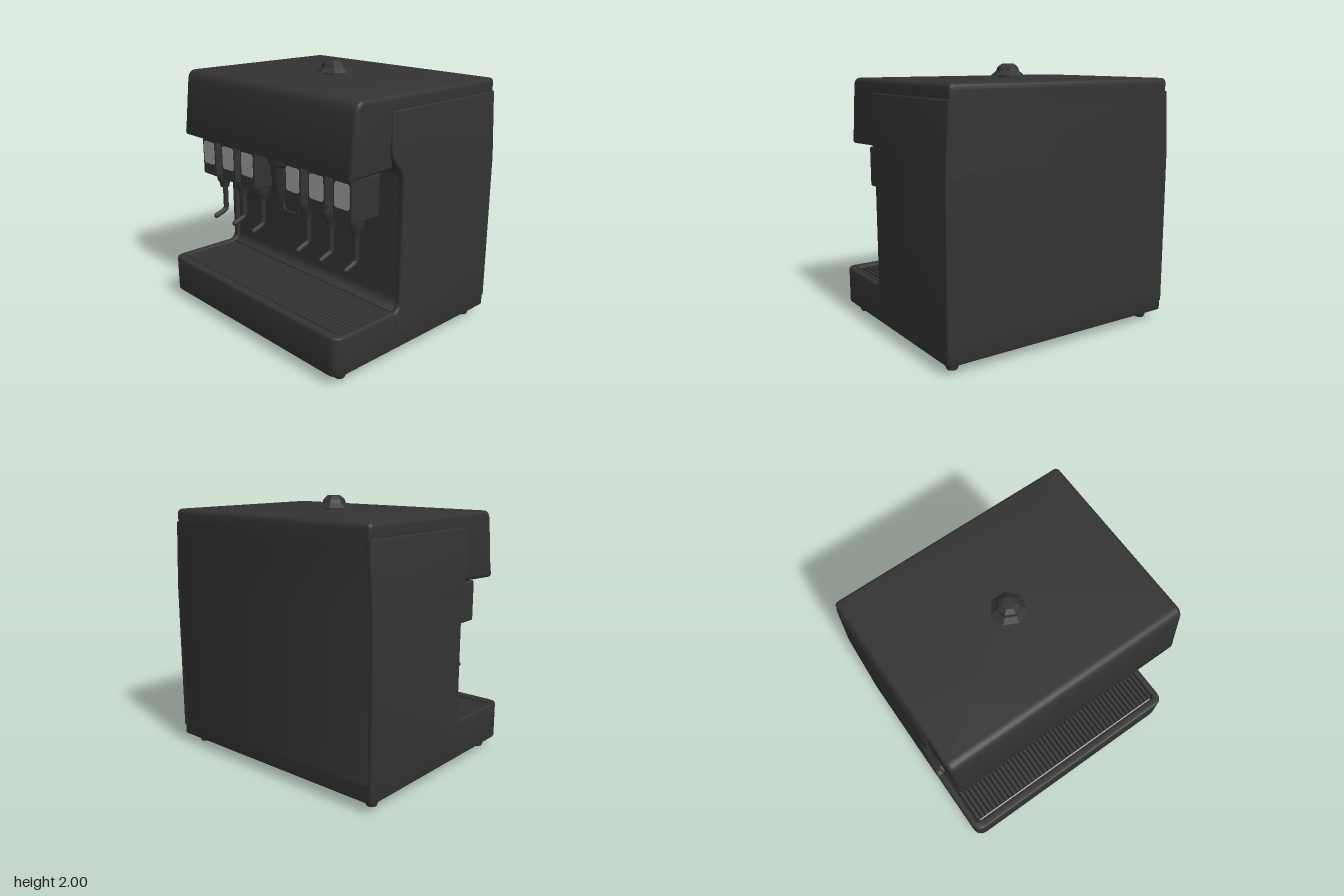
import * as THREE from 'three';
import { toCreasedNormals } from 'three/addons/utils/BufferGeometryUtils.js';
import { RoundedBoxGeometry } from 'three/addons/geometries/RoundedBoxGeometry.js';

const mat = (name, color) => {
  const m = new THREE.MeshStandardMaterial({ color });
  m.name = name;
  return m;
};

export function createModel() {
  const charcoal = mat('charcoal', 0x333333);
  const black = mat('black', 0x161616);
  const lightGrey = mat('light grey', 0xa0a0a0);
  const model = new THREE.Group();

  const add = (name, geometry, material, x = 0, y = 0, z = 0, parent = model) => {
    const mesh = new THREE.Mesh(geometry, material);
    mesh.name = name;
    mesh.position.set(x, y, z);
    parent.add(mesh);
    return mesh;
  };

  // Extrudes a (z, y) side profile across a width centred on x, with rounded edges
  const sideExtrude = (shape, width, bevel) => {
    const g = new THREE.ExtrudeGeometry(shape, {
      depth: width - 2 * bevel, bevelSize: bevel, bevelThickness: bevel,
      bevelOffset: -bevel, bevelSegments: 4, curveSegments: 8,
    });
    g.translate(0, 0, bevel - width / 2);
    g.rotateY(-Math.PI / 2);
    return g;
  };

  // Rounded rectangle in plan, larger corners at the front (shape y = -z)
  const plan = (S, x, back, front, rBack, rFront) => {
    const s = new S();
    s.moveTo(-x, -back - rBack);
    s.lineTo(-x, -front + rFront);
    s.quadraticCurveTo(-x, -front, -x + rFront, -front);
    s.lineTo(x - rFront, -front);
    s.quadraticCurveTo(x, -front, x, -front + rFront);
    s.lineTo(x, -back - rBack);
    s.quadraticCurveTo(x, -back, x - rBack, -back);
    s.lineTo(-x + rBack, -back);
    s.quadraticCurveTo(-x, -back, -x, -back - rBack);
    return s;
  };

  // Base with a recessed drip tray
  const baseShape = plan(THREE.Shape, 0.978, -0.817, 0.82, 0.03, 0.09);
  baseShape.holes.push(plan(THREE.Path, 0.925, 0.1, 0.75, 0.02, 0.04));
  const base = new THREE.ExtrudeGeometry(baseShape, {
    depth: 0.26, bevelSize: 0.015, bevelThickness: 0.015, bevelOffset: -0.015,
    bevelSegments: 3, curveSegments: 8,
  });
  base.rotateX(-Math.PI / 2);
  add('base', toCreasedNormals(base, 0.6), charcoal, 0, 0.085, 0);
  add('trayFloor', new THREE.BoxGeometry(1.88, 0.24, 0.7), black, 0, 0.195, 0.42);
  add('trayEdgeStrip', new THREE.BoxGeometry(1.8, 0.008, 0.012), lightGrey, 0, 0.319, 0.741);

  // Drip grille
  const grille = new THREE.Group();
  grille.name = 'dripGrille';
  model.add(grille);
  const bars = 46;
  for (let i = 0; i < bars; i++) {
    const x = -0.9 + (1.8 * i) / (bars - 1);
    add('grilleBar', new THREE.BoxGeometry(0.021, 0.03, 0.54), charcoal, x, 0.333, 0.463, grille);
  }

  // Cabinet core and side panels, narrowing slightly towards the top
  const cabinetProfile = (front, bottom) => {
    const s = new THREE.Shape();
    s.moveTo(-0.82, bottom);
    s.lineTo(front, bottom);
    s.lineTo(front + 0.07, 0.335);
    s.lineTo(front + 0.07, 0.355);
    s.quadraticCurveTo(front, 0.36, front, 0.43);
    s.lineTo(front, 1.3);
    s.quadraticCurveTo(front, 1.36, front + 0.05, 1.41);
    s.quadraticCurveTo(0.3, 1.46, 0.305, 1.53);
    s.lineTo(0.295, 1.795);
    s.lineTo(-0.82, 1.795);
    s.lineTo(-0.82, 1.3);
    return s;
  };
  const taper = (g, shift = 0) => {
    g.translate(shift, 0, 0);
    const p = g.attributes.position;
    for (let i = 0; i < p.count; i++) {
      const t = THREE.MathUtils.clamp((p.getY(i) - 1.3) / 0.5, 0, 1);
      p.setX(i, p.getX(i) * (1 - 0.03 * t));
    }
    return toCreasedNormals(g, 0.6);
  };
  add('cabinetCore', taper(sideExtrude(cabinetProfile(0.17, 0.2), 1.9, 0.005)), charcoal);
  for (const side of [-1, 1]) {
    const panel = sideExtrude(cabinetProfile(0.2, 0.15), 0.055, 0.016);
    add(side > 0 ? 'leftSidePanel' : 'rightSidePanel', taper(panel, side * 0.9535), charcoal);
  }
  add('underside', new THREE.BoxGeometry(1.9, 0.02, 1.58), charcoal, 0, 0.084, 0);

  // Hood with sloping front
  const hood = new THREE.Shape();
  hood.moveTo(-0.82, 1.775);
  hood.lineTo(0.27, 1.775);
  hood.lineTo(0.27, 1.4);
  hood.lineTo(0.655, 1.385);
  hood.quadraticCurveTo(0.668, 1.385, 0.667, 1.4);
  hood.lineTo(0.62, 1.82);
  hood.quadraticCurveTo(0.61, 1.893, 0.55, 1.893);
  hood.lineTo(-0.78, 1.893);
  hood.quadraticCurveTo(-0.82, 1.893, -0.82, 1.85);
  add('hood', toCreasedNormals(sideExtrude(hood, 1.89, 0.03), 0.7), charcoal);

  // Lid knob
  const lathe = (points, sides) =>
    new THREE.LatheGeometry(points.map(([r, y]) => new THREE.Vector2(r, y)), sides);
  const knob = lathe([[0.07, 1.885], [0.07, 1.908], [0.13, 1.91], [0.09, 1.945],
    [0.082, 1.97], [0.05, 1.996], [0, 2]], 7);
  add('lidKnob', toCreasedNormals(knob, 0.5), charcoal, -0.007, 0, -0.085);

  // Six dispensing valves
  const nozzle = toCreasedNormals(lathe([[0, 0.93], [0.036, 0.93], [0.042, 0.965],
    [0.057, 0.99], [0.06, 1.03], [0.06, 1.07]], 20), 0.6);
  const leverPath = new THREE.CurvePath();
  const v = (x, y, z) => new THREE.Vector3(x, y, z);
  leverPath.add(new THREE.LineCurve3(v(0, 0.95, 0.42), v(0, 0.76, 0.42)));
  leverPath.add(new THREE.QuadraticBezierCurve3(v(0, 0.76, 0.42), v(0, 0.73, 0.42), v(0, 0.72, 0.45)));
  leverPath.add(new THREE.LineCurve3(v(0, 0.72, 0.45), v(0, 0.695, 0.52)));
  const leverTube = new THREE.TubeGeometry(leverPath, 24, 0.021, 10);
  const leverTip = new THREE.SphereGeometry(0.021, 10, 8);
  const label = new THREE.ExtrudeGeometry(
    plan(THREE.Shape, 0.07, -0.09, 0.09, 0.025, 0.025), { depth: 0.006, bevelEnabled: false });
  for (const x of [-0.767, -0.513, -0.267, 0.263, 0.51, 0.76]) {
    const valve = new THREE.Group();
    valve.name = 'valve';
    valve.position.x = x;
    model.add(valve);
    add('valveBody', new RoundedBoxGeometry(0.187, 0.31, 0.265, 3, 0.014), charcoal, 0, 1.21, 0.428, valve);
    add('valveMount', new THREE.BoxGeometry(0.15, 0.06, 0.22), charcoal, 0, 1.375, 0.41, valve);
    add('valveLabel', label, lightGrey, 0, 1.24, 0.558, valve);
    add('nozzle', nozzle, charcoal, 0, 0, 0.425, valve);
    add('lever', leverTube, charcoal, 0, 0, 0, valve);
    add('leverTip', leverTip, charcoal, 0, 0.695, 0.52, valve);
  }

  // Central ice chute with its wire lever
  const chute = toCreasedNormals(lathe([[0, 1], [0.07, 1], [0.078, 1.03], [0.1, 1.27],
    [0.115, 1.29], [0.125, 1.4]], 24), 0.5);
  add('iceChute', chute, charcoal, -0.005, 0, 0.425).scale.z = 0.95;
  const wire = new THREE.CatmullRomCurve3([
    v(-0.07, 1.38, 0.24), v(-0.08, 1.29, 0.25), v(-0.085, 1.2, 0.32), v(-0.09, 1.08, 0.355),
    v(-0.09, 0.93, 0.357), v(-0.07, 0.888, 0.357), v(0.07, 0.888, 0.357), v(0.09, 0.93, 0.357),
    v(0.09, 1.08, 0.355), v(0.085, 1.2, 0.32), v(0.08, 1.29, 0.25), v(0.07, 1.38, 0.24),
  ]);
  add('iceLever', new THREE.TubeGeometry(wire, 70, 0.01, 8), charcoal);

  // Feet
  const foot = toCreasedNormals(lathe([[0, 0], [0.036, 0], [0.042, 0.012], [0.048, 0.05], [0.048, 0.09]], 16), 0.6);
  for (const x of [-0.875, 0.875]) {
    for (const z of [-0.69, 0.685]) add('foot', foot, charcoal, x, 0, z);
  }
  return model;
}
